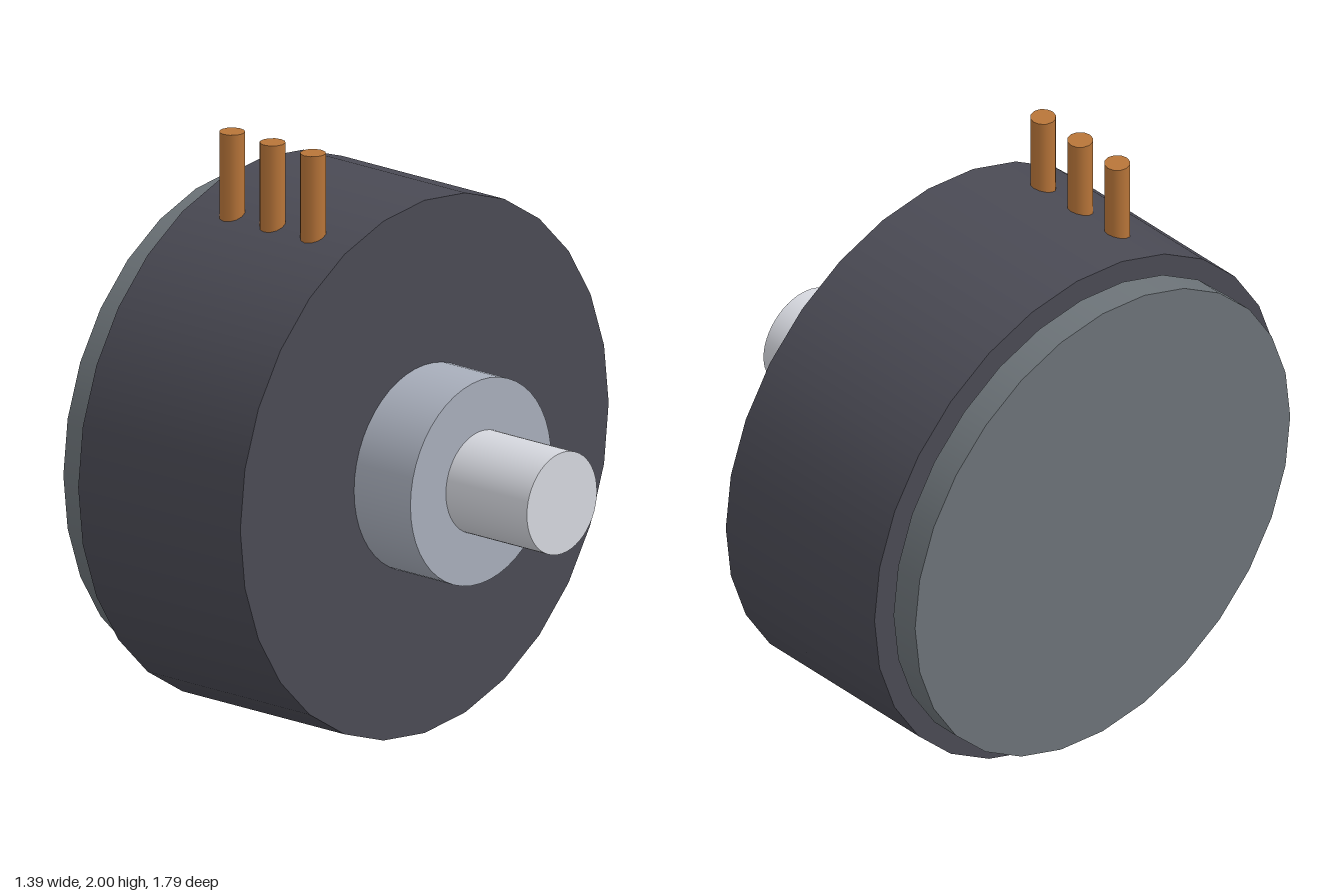
import * as THREE from 'three';

const AXIS_Y = 0.9; // height of the shaft axis

function material(name, color) {
  const m = new THREE.MeshStandardMaterial({ color });
  m.name = name;
  return m;
}

export function createModel() {
  const model = new THREE.Group();
  model.name = 'rotaryControl';

  const charcoal = material('charcoal', 0x4a4a54);
  const slate = material('slate grey', 0x6c7378);
  const steel = material('steel', 0xa8aebb);
  const silver = material('silver', 0xd5d7de);
  const copper = material('copper', 0xb87539);

  // Cylinder lying along x between x0 and x1
  function disc(name, x0, x1, radius, segments, mat) {
    const geometry = new THREE.CylinderGeometry(radius, radius, x1 - x0, segments);
    geometry.rotateZ(-Math.PI / 2);
    const mesh = new THREE.Mesh(geometry, mat);
    mesh.name = name;
    mesh.position.set((x0 + x1) / 2, AXIS_Y, 0);
    model.add(mesh);
  }

  // Back plate stands slightly clear of the housing
  disc('backPlate', -0.7, -0.6, 0.83, 28, slate);
  disc('housing', -0.58, 0.11, 0.895, 28, charcoal);
  disc('collar', 0.11, 0.35, 0.342, 48, steel);
  disc('shaft', 0.35, 0.695, 0.17, 48, silver);

  // Three terminal pins rising from the front of the rim
  const pinGeometry = new THREE.CylinderGeometry(0.042, 0.042, 0.4, 12);
  for (const x of [-0.408, -0.236, -0.064]) {
    const pin = new THREE.Mesh(pinGeometry, copper);
    pin.name = 'terminalPin';
    pin.position.set(x, 1.8, 0.343);
    model.add(pin);
  }

  return model;
}
